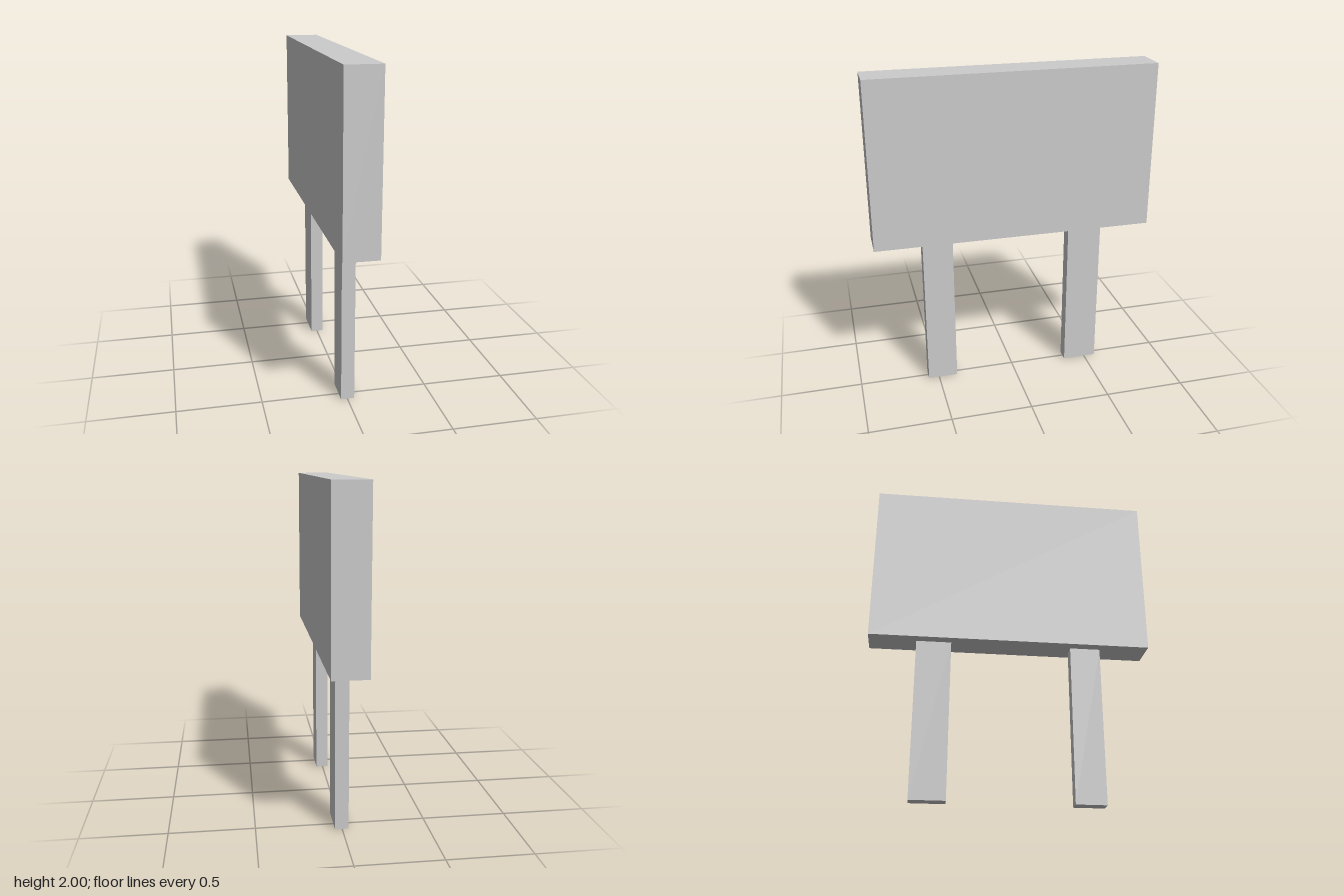
import * as THREE from 'three';

export function createModel() {
  const group = new THREE.Group();
  const material = new THREE.MeshStandardMaterial({ color: 0xcccccc, flatShading: true });

  // Box given by its lower and upper bounds on each axis
  function addBox(name, [x0, x1], [y0, y1], [z0, z1]) {
    const mesh = new THREE.Mesh(new THREE.BoxGeometry(x1 - x0, y1 - y0, z1 - z0), material);
    mesh.position.set((x0 + x1) / 2, (y0 + y1) / 2, (z0 + z1) / 2);
    mesh.name = name;
    group.add(mesh);
  }

  // Thick board
  addBox('signPanel', [-0.104, 0.104], [0.98, 2], [-0.862, 0.862]);

  // Two posts of slightly different width
  addBox('frontPost', [-0.038, 0.042], [0, 0.98], [0.381, 0.567]);
  addBox('backPost', [-0.038, 0.042], [0, 0.98], [-0.573, -0.359]);

  return group;
}
